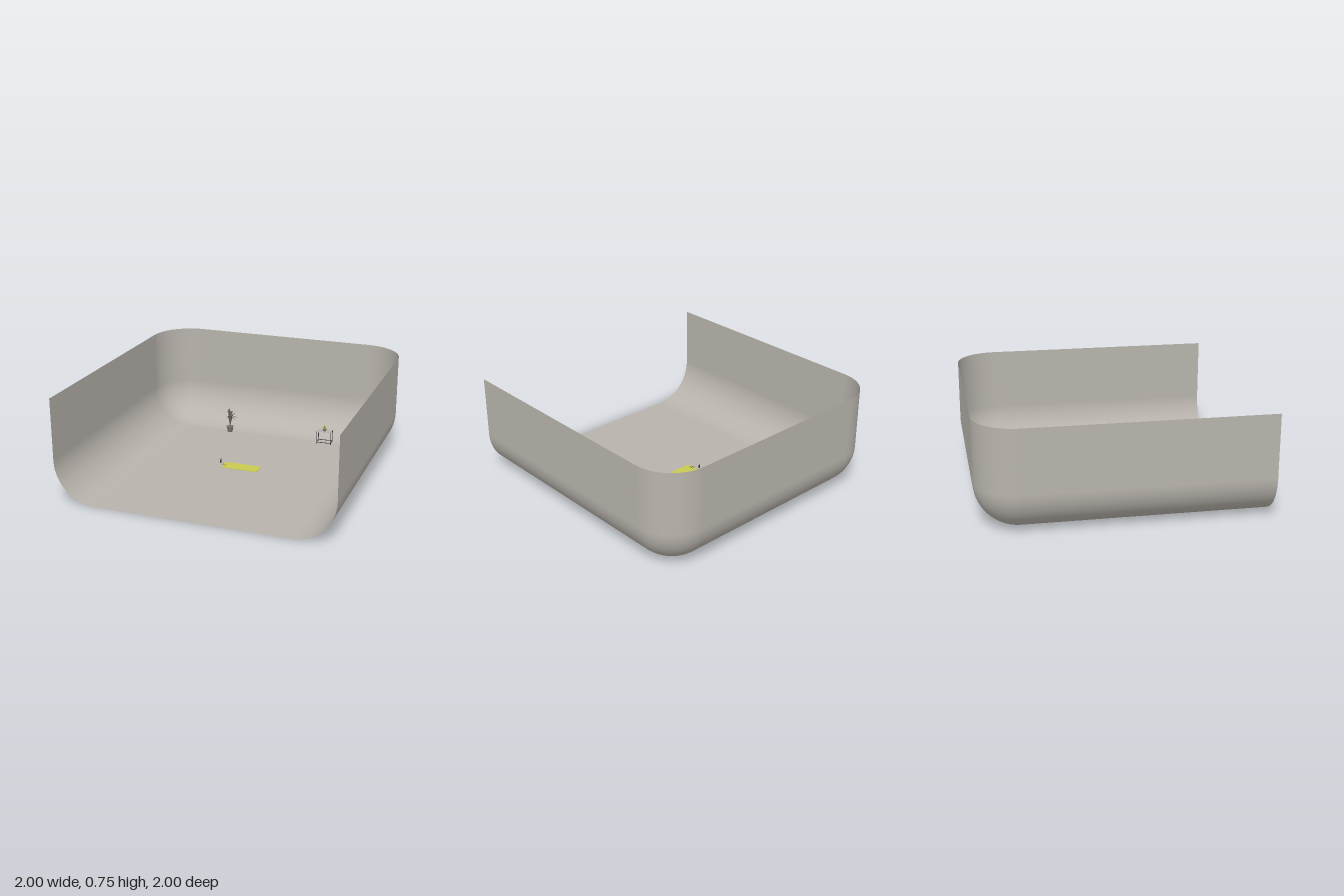
import * as THREE from 'three';

const mat = (name, color, side = THREE.FrontSide) => {
  const m = new THREE.MeshStandardMaterial({ color, side });
  m.name = name;
  return m;
};

// Builds an indexed grid surface from rows of { p, n }
function gridSurface(rows) {
  const pos = [], nor = [], idx = [], w = rows[0].length;
  rows.flat().forEach(({ p, n }) => { pos.push(...p); if (n) nor.push(...n); });
  for (let i = 0; i < rows.length - 1; i++) {
    for (let j = 0; j < w - 1; j++) {
      const a = i * w + j, b = a + 1, c = a + w, d = c + 1;
      idx.push(a, b, c, b, d, c);
    }
  }
  const g = new THREE.BufferGeometry();
  g.setAttribute('position', new THREE.Float32BufferAttribute(pos, 3));
  g.setIndex(idx);
  if (nor.length) g.setAttribute('normal', new THREE.Float32BufferAttribute(nor, 3));
  else g.computeVertexNormals();
  return g;
}

// Room wall: a rounded vertical profile swept around three sides
function wallGeometry(R, H) {
  const plan = [{ c: [1 - R, 1], a: 0 }];
  const N = 16, q = Math.PI / 2;
  for (let i = 0; i <= N; i++) plan.push({ c: [1 - R, R - 1], a: q * i / N });
  for (let i = 0; i <= N; i++) plan.push({ c: [R - 1, R - 1], a: q + q * i / N });
  plan.push({ c: [R - 1, 1], a: Math.PI });
  const profile = [{ y: H, t: 0 }];
  for (let i = 0; i <= N; i++) profile.push({ y: R - R * Math.sin(q * i / N), t: q * i / N });
  return gridSurface(plan.map(({ c, a }) => profile.map(({ y, t }) => {
    const ox = Math.cos(a), oz = -Math.sin(a), k = Math.cos(t);
    return { p: [c[0] + ox * R * k, y, c[1] + oz * R * k], n: [-ox * k, Math.sin(t), -oz * k] };
  })));
}

// Arching leaf blade that tapers toward its tip
function leafGeometry(angle, reach, height, width, droop) {
  const curve = new THREE.QuadraticBezierCurve3(
    new THREE.Vector3(0, 0, 0),
    new THREE.Vector3(reach * 0.35, height * 1.15 + droop, 0),
    new THREE.Vector3(reach, height - droop, 0));
  const rows = [];
  for (let i = 0; i <= 8; i++) {
    const t = i / 8, p = curve.getPoint(t);
    const w = width * (0.25 + 0.75 * Math.sin(Math.PI * Math.min(1, t * 0.9 + 0.1))) * (1 - t ** 4) / 2;
    rows.push([-1, 0, 1].map(s => ({ p: [p.x, p.y + Math.abs(s) * w * 0.4, s * w] })));
  }
  return gridSurface(rows).rotateY(angle);
}

export function createModel() {
  const root = new THREE.Group();
  const wallMat = mat('warm grey', 0xb8b3ac, THREE.DoubleSide);
  const yellow = mat('mat yellow', 0xc8ca52);
  const dark = mat('dark grey', 0x3c3c3c);
  const leafMat = mat('leaf grey', 0x62645f, THREE.DoubleSide);
  const potMat = mat('pot grey', 0x77736e);
  const bloomMat = mat('bloom yellow', 0xb4b62e, THREE.DoubleSide);

  const add = (parent, name, geo, m, x = 0, y = 0, z = 0) => {
    const mesh = new THREE.Mesh(geo, m);
    mesh.name = name;
    mesh.position.set(x, y, z);
    parent.add(mesh);
    return mesh;
  };
  const group = (name, x, y, z) => {
    const g = new THREE.Group();
    g.name = name;
    g.position.set(x, y, z);
    root.add(g);
    return g;
  };

  // Room shell, open at the top and front
  const R = 0.3, H = 0.75;
  add(root, 'curvedWall', wallGeometry(R, H), wallMat);
  add(root, 'floor', new THREE.PlaneGeometry(2 - 2 * R, 2 - R).rotateX(-Math.PI / 2), wallMat, 0, 0, R / 2);

  // Exercise mat with two carrying straps
  const rug = group('exerciseMat', 0, 0, 0);
  add(rug, 'matSheet', new THREE.BoxGeometry(0.28, 0.004, 0.106), yellow, 0, 0.003, -0.002);
  for (const x of [-0.143, -0.124]) {
    add(rug, 'strap', new THREE.BoxGeometry(0.003, 0.002, 0.03), dark, x, 0.006, 0);
  }

  // Water bottle
  const bottle = [[0, 0], [0.005, 0], [0.0055, 0.002], [0.0055, 0.02], [0.003, 0.025], [0.003, 0.032], [0, 0.032]];
  add(root, 'bottle', new THREE.LatheGeometry(bottle.map(p => new THREE.Vector2(...p)), 16), dark, -0.175, 0, -0.036);

  // Tall potted plant
  const plant = group('pottedPlant', -0.345, 0, -0.69);
  add(plant, 'pot', new THREE.CylinderGeometry(0.026, 0.02, 0.04, 20), potMat, 0, 0.02, 0);
  add(plant, 'potRim', new THREE.CylinderGeometry(0.029, 0.028, 0.007, 20), potMat, 0, 0.042, 0);
  for (let i = 0; i < 17; i++) {
    const k = (i * 7 % 17) / 16;
    const leaf = leafGeometry(i * 2.4, 0.075 - 0.06 * k, 0.09 + 0.065 * k, 0.011, 0.035 * (1 - k));
    add(plant, 'leaf', leaf, leafMat, 0, 0.045, 0);
  }

  // Side table with slim legs and a low frame
  const table = group('sideTable', 0.45, 0, -0.697);
  table.rotation.y = 0.06;
  add(table, 'tableTop', new THREE.BoxGeometry(0.116, 0.004, 0.068), wallMat, 0, 0.104, 0);
  for (const s of [-1, 1]) {
    for (const t of [-1, 1]) {
      add(table, 'leg', new THREE.BoxGeometry(0.004, 0.102, 0.004), dark, s * 0.056, 0.051, t * 0.032);
    }
    add(table, 'sideRail', new THREE.BoxGeometry(0.004, 0.004, 0.064), dark, s * 0.056, 0.014, 0);
    add(table, 'longRail', new THREE.BoxGeometry(0.112, 0.004, 0.004), dark, 0, 0.014, s * 0.032);
  }

  // Small flowering plant on the table
  const flower = group('smallPlant', 0.45, 0.106, -0.69);
  add(flower, 'smallPot', new THREE.CylinderGeometry(0.015, 0.012, 0.016, 16), potMat, 0, 0.008, 0);
  for (let i = 0; i < 10; i++) {
    const reach = i % 2 ? 0.018 : 0.01;
    add(flower, 'petal', leafGeometry(i * 2.4, reach, i % 2 ? 0.02 : 0.03, 0.011, 0.003), bloomMat, 0, 0.014, 0);
  }
  return root;
}
